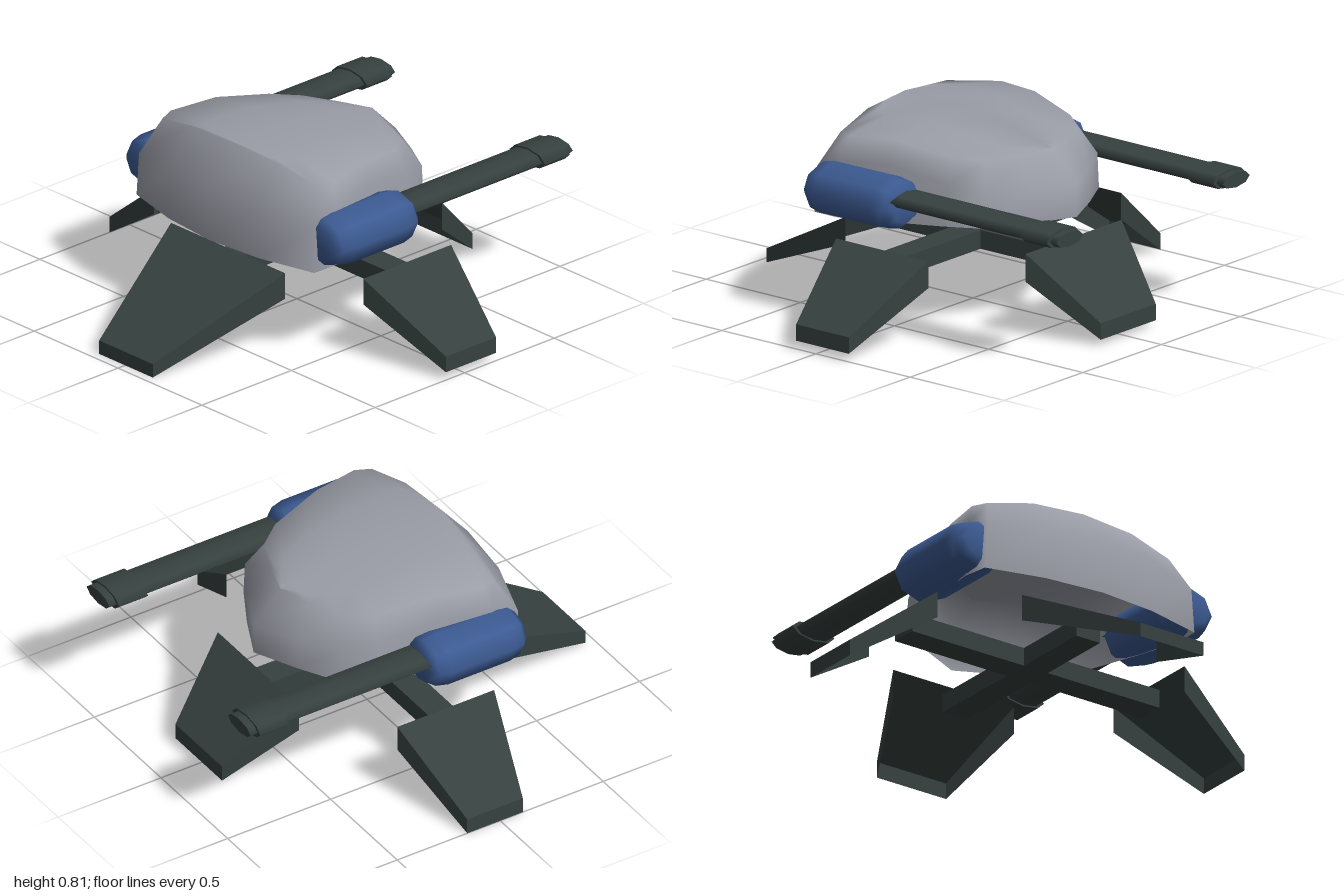
import * as THREE from 'three';

const hullGrey = new THREE.MeshStandardMaterial({ color: 0x9a9ca6, side: THREE.DoubleSide });
const podBlue = new THREE.MeshStandardMaterial({ color: 0x3c5a92 });
const frameDark = new THREE.MeshStandardMaterial({ color: 0x36413f, side: THREE.DoubleSide });

function add(parent, name, geometry, material) {
  const mesh = new THREE.Mesh(geometry, material);
  mesh.name = name;
  parent.add(mesh);
  return mesh;
}

// Rounded shell, open below: rings run front -> +x side -> back, then mirrored
function shellGeometry() {
  const rim = [[0, .42, .49], [.27, .42, .465], [.53, .42, .4], [.54, .425, .28], [.5, .44, .05],
    [.44, .455, -.2], [.37, .46, -.36], [.19, .46, -.46], [0, .46, -.55]];
  const waist = [[0, .66, .49], [.27, .65, .465], [.515, .61, .4], [.525, .66, .27], [.485, .68, .05],
    [.42, .63, -.22], [.36, .61, -.36], [.19, .6, -.46], [0, .6, -.55]];
  const shoulder = [[0, .82, .36], [.25, .805, .35], [.46, .76, .32], [.485, .765, .25], [.44, .775, .04],
    [.38, .735, -.2], [.3, .72, -.31], [.15, .725, -.37], [0, .73, -.42]];
  const ridgeY = z => z > -.03 ? .82 : .82 + (z + .03) * .23;
  const towardRidge = (keep, lift) => shoulder.map(([x, y, z]) => [x * keep, y + (ridgeY(z) - y) * lift, z]);
  const rings = [rim, waist, shoulder, towardRidge(.5, .65), towardRidge(0, 1)].map(half =>
    [...half, ...half.slice(1, -1).reverse().map(([x, y, z]) => [-x, y, z])]);
  const n = rings[0].length;
  const index = [];
  for (let r = 0; r < rings.length - 1; r++) {
    for (let i = 0; i < n; i++) {
      const a = r * n + i, b = r * n + (i + 1) % n;
      index.push(a, b, b + n, a, b + n, a + n);
    }
  }
  const g = new THREE.BufferGeometry();
  g.setAttribute('position', new THREE.Float32BufferAttribute(rings.flat(2), 3));
  g.setIndex(index);
  g.computeVertexNormals();
  // Keep the ridge seam smooth and upright
  for (let i = 4 * n; i < 5 * n; i++) g.attributes.normal.setXYZ(i, 0, 1, 0);
  return g;
}

// Tapered foot plate with a top, two sides and an outer end, hollow below
// Each end is [distance, half width, top y, bottom y]
function footGeometry([zi, wi, ti, bi], [zo, wo, to, bo]) {
  const quads = [
    [[-wi, ti, zi], [-wo, to, zo], [wo, to, zo], [wi, ti, zi]],
    [[wi, ti, zi], [wo, to, zo], [wo, bo, zo], [wi, bi, zi]],
    [[-wi, bi, zi], [-wo, bo, zo], [-wo, to, zo], [-wi, ti, zi]],
    [[-wo, to, zo], [-wo, bo, zo], [wo, bo, zo], [wo, to, zo]],
  ];
  const points = quads.flatMap(([a, b, c, d]) => [a, b, c, a, c, d]).flat();
  const g = new THREE.BufferGeometry();
  g.setAttribute('position', new THREE.Float32BufferAttribute(points, 3));
  g.computeVertexNormals();
  return g;
}

// Flattened tube along z
function tube(z0, z1, halfWidth, halfHeight) {
  const g = new THREE.CylinderGeometry(1, 1, Math.abs(z1 - z0), 8);
  g.rotateX(Math.PI / 2);
  g.scale(halfWidth, halfHeight, 1);
  g.translate(0, .575, (z0 + z1) / 2);
  return g;
}

export function createModel() {
  const model = new THREE.Group();
  model.name = 'turret';

  add(model, 'domedShell', shellGeometry(), hullGrey);

  // Side pods with barrels pointing backward
  for (const side of [1, -1]) {
    const gun = new THREE.Group();
    gun.name = side > 0 ? 'leftGun' : 'rightGun';
    gun.position.x = side * .53 + .005;
    model.add(gun);

    const profile = [[0, -.235], [.65, -.235], [.9, -.205], [1, -.15], [1, .15], [.9, .205], [.65, .235], [0, .235]]
      .map(([r, y]) => new THREE.Vector2(r, y));
    const pod = new THREE.LatheGeometry(profile, 8);
    pod.rotateX(Math.PI / 2);
    pod.scale(.135, .115, 1);
    pod.translate(0, .545, .143);
    add(gun, 'pod', pod, podBlue);

    add(gun, 'barrel', tube(-.02, -.8, .088, .033), frameDark);
    add(gun, 'muzzleCollar', tube(-.785, -.925, .105, .04), frameDark);
    add(gun, 'muzzleTip', tube(-.92, -.96, .085, .032), frameDark);
  }

  // Crossed support beams
  add(model, 'crossBeam', new THREE.BoxGeometry(1.25, .08, .12).translate(0, .287, -.03), frameDark);
  add(model, 'lengthBeam', new THREE.BoxGeometry(.12, .08, .92).translate(0, .287, -.07), frameDark);

  // Four splayed feet: name, turn, x and z shift, inner end, outer end
  const feet = [
    ['frontFoot', 0, .005, 0, [.39, .34, .355, .24], [.96, .16, .065, .005]],
    ['backFoot', Math.PI, -.005, 0, [.53, .305, .37, .25], [.82, .175, .1, .03]],
    ['leftFoot', Math.PI / 2, 0, -.035, [.62, .245, .365, .25], [1, .14, .11, .04]],
    ['rightFoot', -Math.PI / 2, 0, -.025, [.63, .235, .355, .24], [1, .135, .075, .005]],
  ];
  for (const [name, turn, x, z, inner, outer] of feet) {
    const foot = add(model, name, footGeometry(inner, outer), frameDark);
    foot.rotation.y = turn;
    foot.position.set(x, 0, z);
  }
  return model;
}
